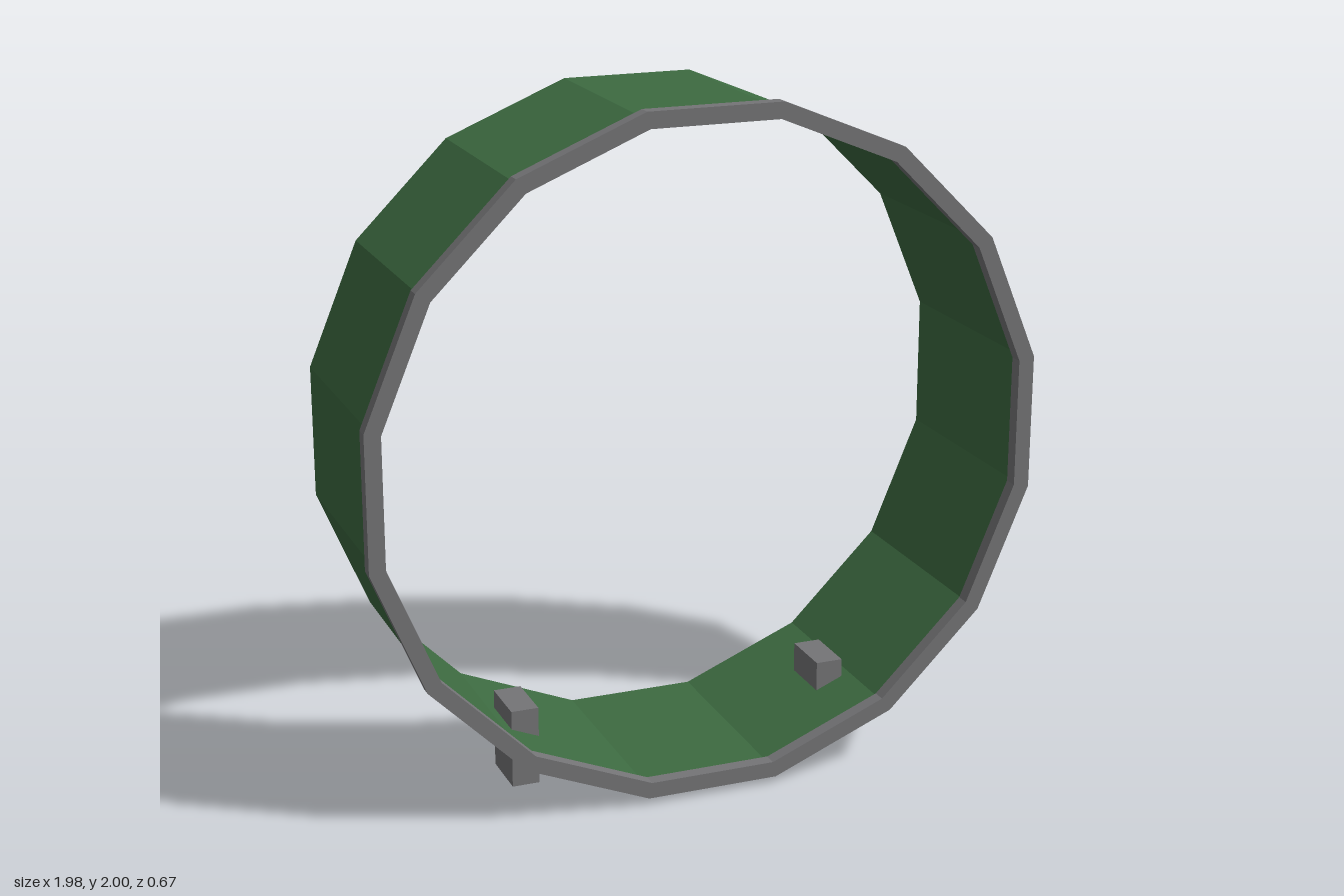
import * as THREE from 'three';

const SIDES = 16;
const CENTER_Y = 1.01;

// Corners of a regular polygon with flat top and sides, from its apothem
function polygon(apothem) {
  const r = apothem / Math.cos(Math.PI / SIDES);
  return Array.from({ length: SIDES }, (_, i) => {
    const a = ((i + 0.5) / SIDES) * Math.PI * 2;
    return new THREE.Vector2(Math.cos(a) * r, Math.sin(a) * r);
  });
}

export function createModel() {
  const group = new THREE.Group();
  const green = new THREE.MeshStandardMaterial({ name: 'green', color: 0x3d6b41, flatShading: true, side: THREE.DoubleSide });
  const grey = new THREE.MeshStandardMaterial({ name: 'grey', color: 0x757577, flatShading: true });

  const add = (name, geometry, material, x, y, z) => {
    const mesh = new THREE.Mesh(geometry, material);
    mesh.name = name;
    mesh.position.set(x, y, z);
    group.add(mesh);
  };

  // Thin open drum
  const r = 0.966 / Math.cos(Math.PI / SIDES);
  const drum = new THREE.CylinderGeometry(r, r, 0.65, SIDES, 1, true, Math.PI / SIDES);
  drum.rotateX(Math.PI / 2);
  add('drumShell', drum, green, 0, CENTER_Y, -0.012);

  // Square-section rim around the front opening
  const rim = new THREE.Shape(polygon(0.99));
  rim.holes.push(new THREE.Path(polygon(0.943)));
  add('frontRim', new THREE.ExtrudeGeometry(rim, { depth: 0.041, bevelEnabled: false }), grey, 0, CENTER_Y, 0.296);

  // Feet poking up through the bottom of the drum
  for (const side of [1, -1]) {
    add(side > 0 ? 'leftFoot' : 'rightFoot', new THREE.BoxGeometry(0.082, 0.236, 0.165), grey, side * 0.482, 0.118, 0);
  }

  return group;
}
